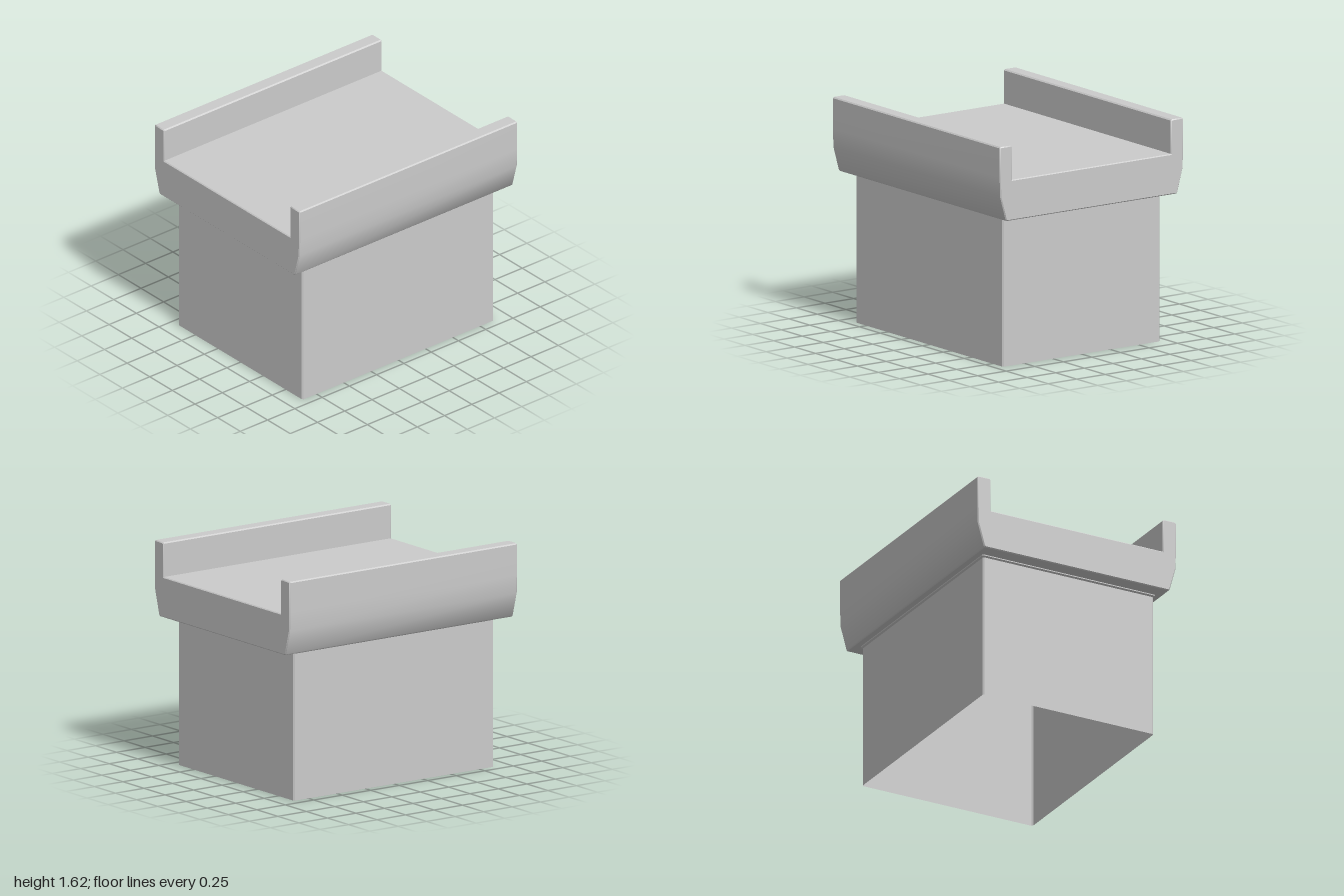
import * as THREE from 'three';
import { toCreasedNormals } from 'three/addons/utils/BufferGeometryUtils.js';

const BEVEL = 0.007;
const SOFFIT = 1.083;
const grey = new THREE.MeshStandardMaterial({ color: 0xcccccc, side: THREE.DoubleSide });

function part(geometry, name) {
  const mesh = new THREE.Mesh(toCreasedNormals(geometry, 0.6), grey);
  mesh.name = name;
  return mesh;
}

// Channel-shaped tray, its cross-section swept along x
function trayGeometry() {
  const half = [
    [0.742, SOFFIT], [0.751, 1.092], [0.799, 1.265], [0.802, 1.4], [0.802, 1.616],
    [0.794, 1.625], [0.704, 1.625], [0.695, 1.616], [0.695, 1.376],
  ];
  const mirrored = half.map(([z, y]) => [-z, y]).reverse();
  const shape = new THREE.Shape([...half, ...mirrored].map(([z, y]) => new THREE.Vector2(z, y)));
  const geo = new THREE.ExtrudeGeometry(shape, {
    depth: 2 - 2 * BEVEL, bevelThickness: BEVEL, bevelSize: BEVEL, bevelOffset: -BEVEL, bevelSegments: 1,
  }).toNonIndexed?.() ?? null;
  geo.translate(0, 0, -1 + BEVEL).rotateY(Math.PI / 2);

  // Leave the underside open: the soffit ring closes it around the hollow base
  const p = geo.attributes.position;
  const kept = [];
  for (let i = 0; i < p.count; i += 3) {
    const top = Math.max(p.getY(i), p.getY(i + 1), p.getY(i + 2));
    if (top < SOFFIT + 0.001) continue;
    for (let k = i; k < i + 3; k++) kept.push(p.getX(k), p.getY(k), p.getZ(k));
  }
  const open = new THREE.BufferGeometry();
  open.setAttribute('position', new THREE.Float32BufferAttribute(kept, 3));
  open.computeVertexNormals();
  return open;
}

// Rectangle with chamfered corners, as eight points
function ring([hx, hz, y, c]) {
  return [
    [hx, hz - c], [hx - c, hz], [-hx + c, hz], [-hx, hz - c],
    [-hx, -hz + c], [-hx + c, -hz], [hx - c, -hz], [hx, -hz + c],
  ].map(([x, z]) => [x, y, z]);
}

// Skin joining rings from bottom to top
function loft(levels) {
  const rings = levels.map(ring);
  const n = rings[0].length;
  const index = [];
  for (let r = 0; r < rings.length - 1; r++) {
    for (let i = 0; i < n; i++) {
      const a = r * n + i, b = r * n + (i + 1) % n;
      index.push(a, a + n, b, b, a + n, b + n);
    }
  }
  const geo = new THREE.BufferGeometry();
  geo.setAttribute('position', new THREE.Float32BufferAttribute(rings.flat(2), 3));
  geo.setIndex(index);
  geo.computeVertexNormals();
  return geo;
}

export function createModel() {
  const model = new THREE.Group();
  model.name = 'pedestalTray';
  model.add(part(trayGeometry(), 'tray'));

  // Hollow base, open at the bottom, with a small flare under the tray
  model.add(part(loft([
    [0.877, 0.688, 0, 0.01],
    [0.877, 0.688, 1.066, 0.01],
    [0.887, 0.699, 1.076, 0.01],
    [0.887, 0.699, SOFFIT, 0.01],
  ]), 'base'));

  // Flat ring under the tray overhang
  model.add(part(loft([
    [0.887, 0.699, SOFFIT, 0.01],
    [1 - BEVEL, 0.742, SOFFIT, 0],
  ]), 'soffit'));
  return model;
}
